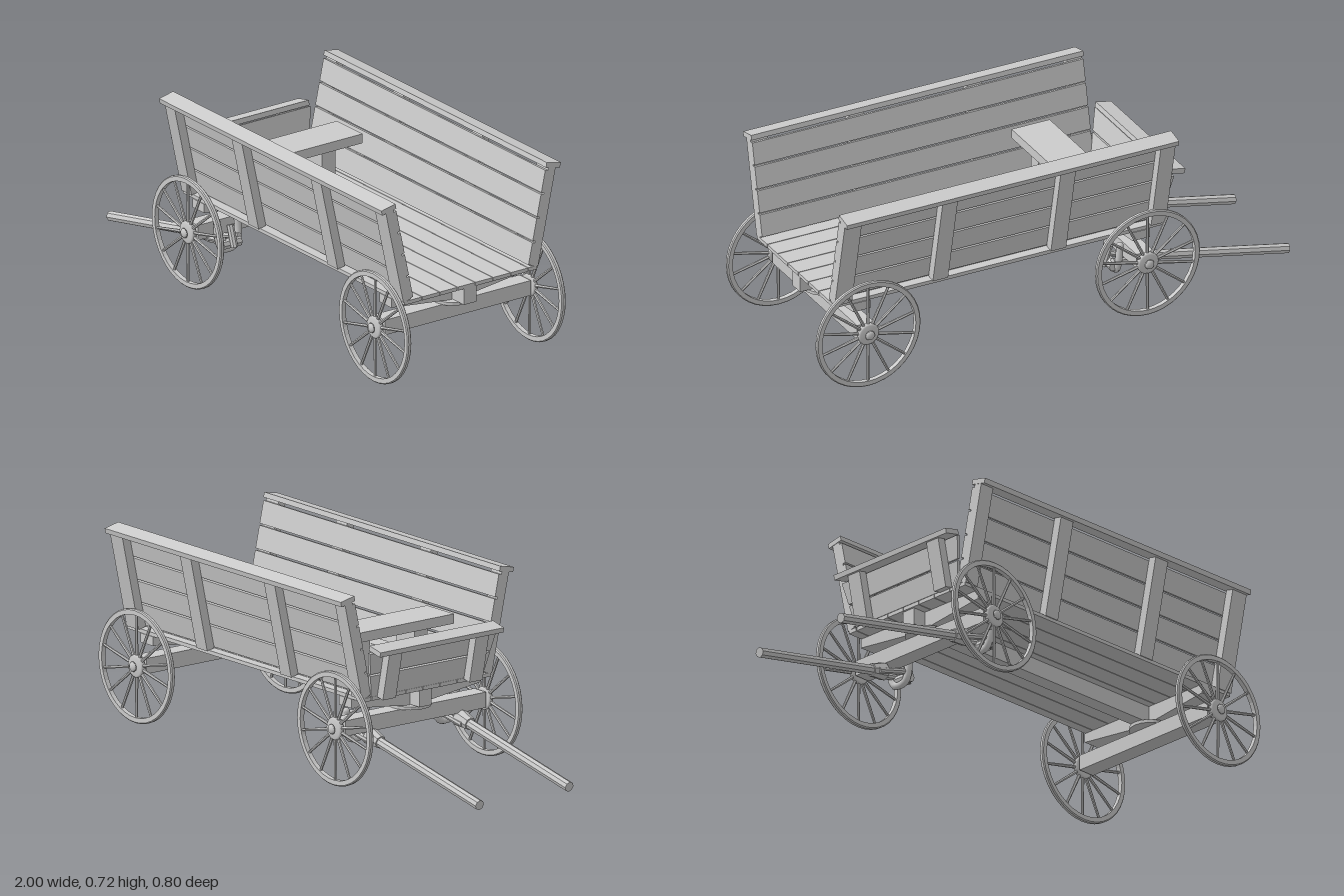
import * as THREE from 'three';

const mat = new THREE.MeshStandardMaterial({ color: 0xcccccc, flatShading: true });
const smooth = new THREE.MeshStandardMaterial({ color: 0xcccccc });
const LEAN = 0.212;

function add(parent, name, geo, x = 0, y = 0, z = 0, m = mat) {
  const mesh = new THREE.Mesh(geo, m);
  mesh.name = name;
  mesh.position.set(x, y, z);
  parent.add(mesh);
  return mesh;
}

// Box given by its limits on each axis
function box(parent, name, x0, x1, y0, y1, z0, z1) {
  return add(parent, name, new THREE.BoxGeometry(x1 - x0, y1 - y0, Math.abs(z1 - z0)),
    (x0 + x1) / 2, (y0 + y1) / 2, (z0 + z1) / 2);
}

// Outline in (z, y), extruded along x and centred on x = 0
function slab(points, depth) {
  const shape = new THREE.Shape(points.map(p => new THREE.Vector2(...p)));
  return new THREE.ExtrudeGeometry(shape, { depth, bevelEnabled: false })
    .translate(0, 0, -depth / 2).rotateY(Math.PI / 2);
}

// Round or faceted bar between two points
function bar(parent, name, a, b, r0, r1, sides) {
  const p = new THREE.Vector3(...a), q = new THREE.Vector3(...b);
  const d = q.clone().sub(p);
  const mesh = add(parent, name, new THREE.CylinderGeometry(r1, r0, d.length(), sides));
  mesh.position.copy(p).add(q).multiplyScalar(0.5);
  mesh.quaternion.setFromUnitVectors(new THREE.Vector3(0, 1, 0), d.normalize());
  return mesh;
}

function lathe(points, sides) {
  return new THREE.LatheGeometry(points.map(p => new THREE.Vector2(...p)), sides).rotateX(Math.PI / 2);
}

// Wheel around the z axis, outer face towards +z
function makeWheel() {
  const wheel = new THREE.Group();
  wheel.name = 'wheel';
  add(wheel, 'rim', lathe([[0.19, -0.009], [0.207, -0.009], [0.211, -0.005], [0.211, 0.005],
    [0.207, 0.009], [0.19, 0.009], [0.19, -0.009]], 40));
  for (let i = 0; i < 14; i++) {
    const a = Math.PI / 2 + i * Math.PI * 2 / 14, c = Math.cos(a), s = Math.sin(a);
    bar(wheel, 'spoke', [c * 0.03, s * 0.03, 0], [c * 0.194, s * 0.194, 0], 0.0065, 0.005, 6);
  }
  add(wheel, 'hub', lathe([[0, -0.012], [0.036, -0.012], [0.042, -0.006], [0.042, 0.006],
    [0.036, 0.011], [0.012, 0.012]], 20), 0, 0, 0, smooth);
  add(wheel, 'axleCap', lathe([[0.008, 0.01], [0.008, 0.016], [0.019, 0.016], [0.017, 0.021],
    [0.01, 0.025], [0, 0.026]], 14), 0, 0, 0, smooth);
  add(wheel, 'axleEnd', lathe([[0.009, -0.03], [0.009, 0.012]], 12), 0, 0, 0, smooth);
  return wheel;
}

// Axle, bolster, turning plate and two wheels
function makeAxle(x) {
  const g = new THREE.Group();
  g.name = 'axleAssembly';
  g.position.x = x;
  box(g, 'axleBeam', -0.034, 0.034, 0.185, 0.243, -0.325, 0.325);
  add(g, 'turningPlate', new THREE.CylinderGeometry(0.077, 0.077, 0.012, 20), 0, 0.248, 0);
  add(g, 'bolster', slab([[-0.298, 0.319], [-0.298, 0.285], [-0.03, 0.253],
    [0.03, 0.253], [0.298, 0.285], [0.298, 0.319]], 0.07));
  for (const s of [1, -1]) {
    const wheel = makeWheel();
    wheel.position.set(0, 0.211, s * 0.344);
    if (s < 0) wheel.rotation.y = Math.PI;
    g.add(wheel);
  }
  return g;
}

// Outward-leaning side wall; s is the sign of z
function makeSide(s) {
  const g = new THREE.Group();
  g.name = s > 0 ? 'frontSideWall' : 'backSideWall';
  g.position.set(0, 0.33, s * 0.3);
  g.rotation.x = s * LEAN;
  for (const y of [0.004, 0.095, 0.186, 0.277])
    box(g, 'sidePlank', -0.448, 0.898, y, y + 0.084, -s * 0.045, -s * 0.033);
  for (const [x0, x1] of [[-0.448, -0.388], [-0.043, 0.019], [0.437, 0.499], [0.828, 0.898]])
    box(g, 'sidePost', x0, x1, 0, 0.373, -s * 0.033, 0);
  box(g, 'sideCapRail', -0.45, 0.9, 0.372, 0.391, -s * 0.046, s * 0.018);
  return g;
}

// Forward-leaning end board at -x
function makeHeadboard() {
  const g = new THREE.Group();
  g.name = 'headboard';
  g.position.set(-0.448, 0.33, 0);
  g.rotation.z = LEAN;
  const half = y => 0.258 + 0.2 * y;
  for (const y of [0.004, 0.095]) {
    const t = y + 0.084;
    add(g, 'headboardPlank', slab([[-half(y), y], [half(y), y], [half(t), t], [-half(t), t]], 0.012), 0.006);
  }
  for (const s of [1, -1]) box(g, 'headboardPost', -0.033, 0, 0, 0.187, s * 0.17, s * 0.23);
  box(g, 'headboardCap', -0.046, 0.018, 0.185, 0.204, -0.285, 0.285);
  return g;
}

// Pulling shaft with a forked yoke around the front axle
function makeShaft(z) {
  const g = new THREE.Group();
  g.name = 'pullingShaft';
  g.position.z = z;
  bar(g, 'shaft', [-0.997, 0.034, 0], [-0.4, 0.158, 0], 0.019, 0.019, 8);
  bar(g, 'shaftSocket', [-0.43, 0.152, 0], [-0.37, 0.165, 0], 0.024, 0.034, 8);
  // U-shaped strap under the axle
  const strap = new THREE.CatmullRomCurve3([[-0.29, 0.25, -0.046], [-0.285, 0.185, -0.044],
    [-0.285, 0.143, -0.025], [-0.285, 0.143, 0.025], [-0.285, 0.185, 0.044], [-0.29, 0.25, 0.046]]
    .map(p => new THREE.Vector3(...p)));
  add(g, 'yokeStrap', new THREE.TubeGeometry(strap, 20, 0.014, 8), 0, 0, 0, smooth);
  for (const s of [1, -1]) {
    bar(g, 'yokeArm', [-0.41, 0.15, s * 0.02], [-0.265, 0.185, s * 0.036], 0.012, 0.012, 8);
    add(g, 'yokeTip', new THREE.SphereGeometry(0.014, 10, 8), -0.29, 0.247, s * 0.046, smooth);
  }
  bar(g, 'yokePin', [-0.245, 0.155, 0], [-0.272, 0.235, 0], 0.014, 0.014, 8);
  bar(g, 'yokeCrossPiece', [-0.27, 0.165, -0.04], [-0.27, 0.165, 0.04], 0.02, 0.02, 8);
  return g;
}

export function createModel() {
  const cart = new THREE.Group();
  cart.name = 'wagon';

  // Floor planks, the last one cut narrow, on a long centre beam
  for (let z = 0.295; z > -0.29; z -= 0.079)
    box(cart, 'floorPlank', -0.448, 0.898, 0.319, 0.333, Math.max(z - 0.076, -0.295), z);
  box(cart, 'centreBeam', -0.44, 0.895, 0.256, 0.32, -0.028, 0.028);

  cart.add(makeSide(1), makeSide(-1), makeHeadboard());

  // Bench on two supports
  box(cart, 'seat', -0.275, -0.12, 0.485, 0.521, -0.265, 0.265);
  for (const s of [1, -1]) box(cart, 'seatSupport', -0.25, -0.145, 0.332, 0.486, s * 0.103, s * 0.163);

  cart.add(makeAxle(-0.35), makeAxle(0.786));
  cart.add(makeShaft(0.214), makeShaft(-0.2));
  return cart;
}
